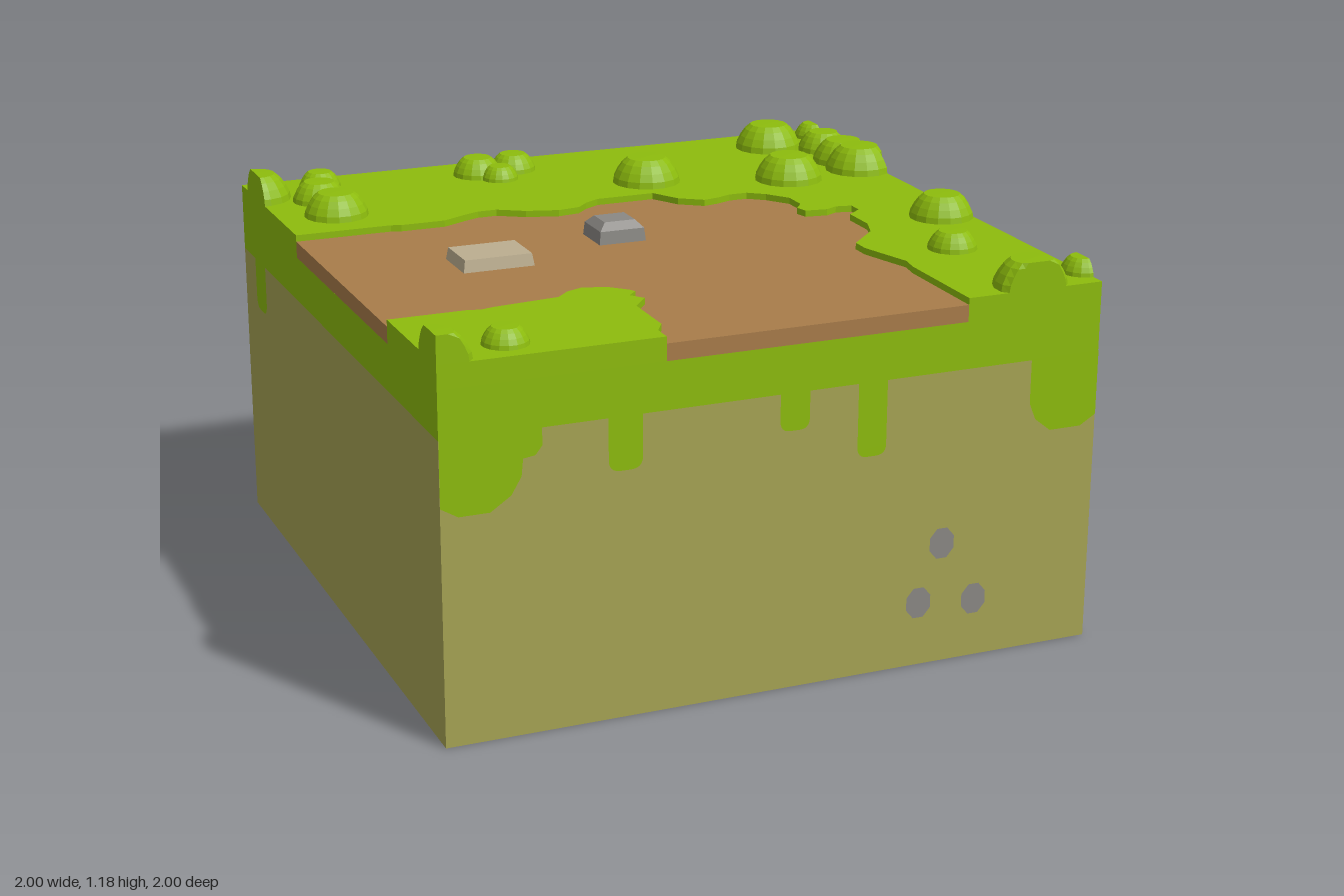
import * as THREE from 'three';

const material = (name, color) => {
  const m = new THREE.MeshStandardMaterial({ color });
  m.name = name;
  return m;
};

export function createModel() {
  const group = new THREE.Group();
  const grass = material('grass green', 0x8dbc0d);
  const soil = material('soil olive', 0xa6a354);
  const dirt = material('path brown', 0xa87c4a);
  const stone = material('stone grey', 0x8a8884);
  const slab = material('slab beige', 0xbcae90);
  const flats = new Map();
  const flat = (m) => {
    if (!flats.has(m)) flats.set(m, Object.assign(m, { flatShading: true }));
    return m;
  };

  const add = (name, geometry, mat, parent = group) => {
    const mesh = new THREE.Mesh(geometry, flat(mat));
    mesh.name = name;
    parent.add(mesh);
    return mesh;
  };
  const layer = (name, y0, y1, mat) =>
    add(name, new THREE.BoxGeometry(2, y1 - y0, 2).translate(0, (y0 + y1) / 2, 0), mat);
  // extrude an outline of [x, z] points upwards from y0 to y1
  const plan = (name, points, y0, y1, mat) => {
    const shape = new THREE.Shape(points.map(([x, z]) => new THREE.Vector2(x, -z)));
    const g = new THREE.ExtrudeGeometry(shape, { depth: y1 - y0, bevelEnabled: false });
    add(name, g.rotateX(-Math.PI / 2).translate(0, y0, 0), mat);
  };
  // box whose top is narrower than its base
  const taper = (name, x, z, y0, y1, w, d, inset, mat) => {
    const g = new THREE.BoxGeometry(w, y1 - y0, d);
    const p = g.attributes.position;
    for (let i = 0; i < p.count; i++) {
      if (p.getY(i) < 0) continue;
      p.setX(i, p.getX(i) - Math.sign(p.getX(i)) * inset);
      p.setZ(i, p.getZ(i) - Math.sign(p.getZ(i)) * inset);
    }
    g.translate(x, (y0 + y1) / 2, z).computeVertexNormals();
    add(name, g, mat);
  };

  // ground block
  layer('soilBlock', 0, 0.89, soil);
  layer('grassBand', 0.89, 1.03, grass);

  // wavy path edges
  const backEdge = [
    [-1, -0.35], [-0.7, -0.35], [-0.67, -0.34], [-0.53, -0.34], [-0.45, -0.38], [-0.4, -0.4],
    [-0.34, -0.4], [-0.26, -0.35], [-0.16, -0.32], [-0.09, -0.33], [-0.05, -0.37], [0, -0.4],
    [0.19, -0.4], [0.24, -0.31], [0.31, -0.26], [0.36, -0.27], [0.41, -0.29], [0.47, -0.29],
    [0.52, -0.25], [0.57, -0.18], [0.57, -0.1], [0.54, -0.06], [0.55, -0.02], [0.62, -0.01],
    [0.66, -0.03], [0.71, -0.02], [0.71, 0.03], [0.66, 0.07], [0.66, 0.19], [0.63, 0.27],
    [0.57, 0.33], [0.53, 0.37], [0.53, 0.43], [0.55, 0.5], [0.58, 0.6], [0.57, 0.66], [0.57, 1],
  ];
  const cornerEdge = [
    [-1, 0.57], [-0.77, 0.57], [-0.73, 0.58], [-0.69, 0.57], [-0.49, 0.55], [-0.45, 0.51],
    [-0.4, 0.49], [-0.33, 0.51], [-0.28, 0.56], [-0.27, 0.58], [-0.3, 0.61], [-0.27, 0.65],
    [-0.32, 0.71], [-0.32, 0.89], [-0.35, 0.94], [-0.35, 1],
  ];
  plan('path', [...backEdge, ...[...cornerEdge].reverse()], 1.03, 1.08, dirt);
  plan('grassField', [...backEdge, [1, 1], [1, -1], [-1, -1]], 1.03, 1.1, grass);
  plan('grassCorner', [...cornerEdge, [-1, 1]], 1.03, 1.1, grass);

  // low domed bushes: x, z, radius; cut flat where they pass the block's sides
  const bushes = [
    [-1, -0.82, 0.11], [-0.77, -0.89, 0.067], [-0.82, -0.72, 0.085], [-0.82, -0.53, 0.1],
    [-0.25, -0.84, 0.08], [-0.12, -0.86, 0.075], [-0.2, -0.76, 0.06], [0.23, -0.55, 0.11],
    [0.79, -0.82, 0.11], [1, -0.9, 0.065], [0.95, -0.72, 0.085], [0.94, -0.55, 0.1],
    [0.94, -0.43, 0.11], [0.67, -0.4, 0.11], [0.91, 0.2, 0.1], [1, 0.15, 0.065],
    [0.77, 0.53, 0.075], [0.79, 0.96, 0.11], [1, 0.89, 0.065], [-1, 0.96, 0.11],
    [-0.77, 0.89, 0.067],
  ];
  const dome = [[1, 0], [0.97, 0.18], [0.86, 0.4], [0.72, 0.6], [0.56, 0.74], [0, 0.75]];
  const clamp = (v) => THREE.MathUtils.clamp(v, -1, 1);
  for (const [x, z, r] of bushes) {
    const profile = dome.map(([a, b]) => new THREE.Vector2(a * r, b * r));
    const g = new THREE.LatheGeometry(profile, 16, Math.PI / 16).translate(x, 1.1, z);
    const p = g.attributes.position;
    for (let i = 0; i < p.count; i++) p.setXYZ(i, clamp(p.getX(i)), p.getY(i), clamp(p.getZ(i)));
    g.computeVertexNormals();
    add('bush', g, grass);
  }

  // stones lying on the path
  taper('pathStoneBase', -0.09, -0.03, 1.08, 1.12, 0.15, 0.14, 0.004, stone);
  taper('pathStoneTop', -0.09, -0.03, 1.12, 1.143, 0.142, 0.132, 0.022, stone);
  taper('pathSlab', -0.53, 0.083, 1.08, 1.117, 0.22, 0.165, 0.006, slab);

  // one round-ended drip of grass between u0 and u1
  const drip = (u0, u1, bottom) => {
    const w = u1 - u0, s = new THREE.Shape();
    const c = Math.min(w * 0.35, (0.89 - bottom) * 0.8);
    s.moveTo(u0, 0.895).lineTo(u0, bottom + c);
    s.quadraticCurveTo(u0, bottom, u0 + w * 0.35, bottom);
    s.lineTo(u1 - w * 0.35, bottom);
    s.quadraticCurveTo(u1, bottom, u1, bottom + c);
    s.lineTo(u1, 0.895);
    return s;
  };
  const outline = (points) => new THREE.Shape(points.map(([u, v]) => new THREE.Vector2(u, v)));

  // painted details of each side; u runs left to right as that side is faced
  const sides = [
    {
      name: 'frontDetails', turn: 0,
      drips: [
        outline([[-1, 0.895], [-1, 0.7], [-0.95, 0.67], [-0.86, 0.67], [-0.8, 0.71], [-0.77, 0.76],
          [-0.765, 0.81], [-0.73, 0.815], [-0.71, 0.84], [-0.71, 0.895]]),
        drip(-0.52, -0.42, 0.735), drip(-0.01, 0.08, 0.78), drip(0.23, 0.32, 0.67),
        outline([[0.78, 0.895], [0.78, 0.76], [0.8, 0.71], [0.85, 0.67], [0.95, 0.67], [1, 0.7], [1, 0.895]]),
      ],
      pebbles: [[0.51, 0.37], [0.44, 0.195], [0.62, 0.18]],
    },
    {
      name: 'leftDetails', turn: Math.PI / 2,
      drips: [
        outline([[-1, 0.895], [-1, 0.73], [-0.92, 0.755], [-0.84, 0.76], [-0.79, 0.79], [-0.77, 0.84], [-0.77, 0.895]]),
        drip(-0.63, -0.53, 0.67), drip(-0.37, -0.26, 0.83), drip(-0.05, 0.04, 0.67),
        drip(0.19, 0.3, 0.85), drip(0.44, 0.53, 0.78),
        outline([[0.74, 0.895], [0.75, 0.76], [0.79, 0.73], [0.88, 0.735], [0.94, 0.76], [1, 0.77], [1, 0.895]]),
      ],
      pebbles: [[-0.68, 0.455], [-0.5, 0.555], [-0.06, 0.555]],
    },
    { name: 'backDetails', turn: Math.PI, drips: [drip(0.71, 0.83, 0.83)], pebbles: [] },
    { name: 'rightDetails', turn: -Math.PI / 2, drips: [drip(-0.86, -0.74, 0.73)], pebbles: [] },
  ];
  for (const { name, turn, drips, pebbles } of sides) {
    const side = new THREE.Group();
    side.name = name;
    side.rotation.y = turn;
    group.add(side);
    for (const s of drips) add('grassDrip', new THREE.ShapeGeometry(s, 6).translate(0, 0, 1.002), grass, side);
    for (const [u, v] of pebbles) {
      const g = new THREE.CircleGeometry(1, 8, Math.PI / 8).scale(0.042, 0.05, 1);
      add('pebble', g.translate(u, v, 1.002), stone, side);
    }
  }
  return group;
}
